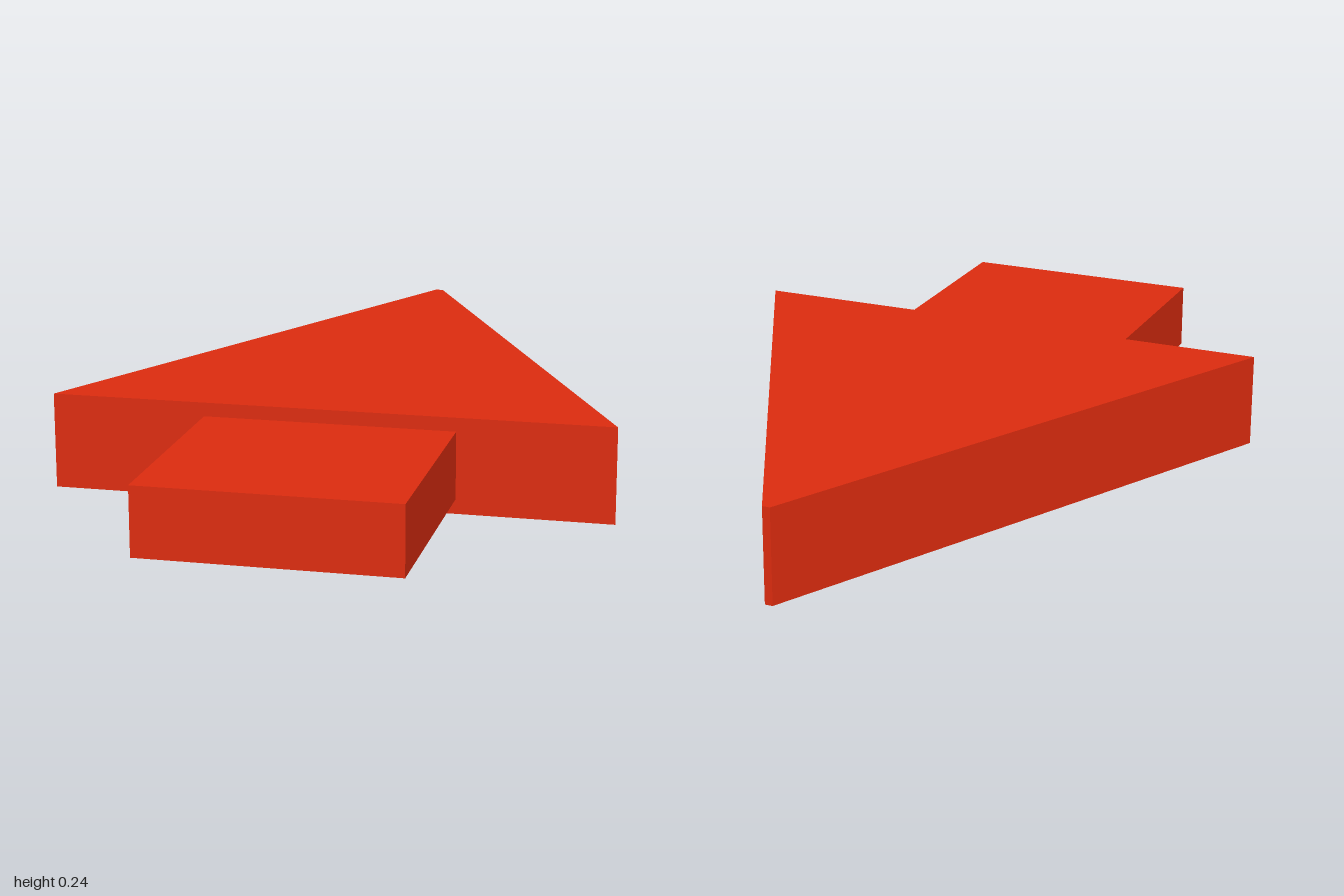
import * as THREE from 'three';

export function createModel() {
  const group = new THREE.Group();
  group.name = 'arrow';
  const red = new THREE.MeshStandardMaterial({ color: 0xdd2c0f });

  // Arrow head: a thick triangular slab with a narrow blunt tip pointing to -z
  const outline = new THREE.Shape([
    new THREE.Vector2(-0.708, -0.405),
    new THREE.Vector2(0.708, -0.405),
    new THREE.Vector2(0.01, 1),
    new THREE.Vector2(-0.01, 1),
  ]);
  const headGeometry = new THREE.ExtrudeGeometry(outline, { depth: 0.243, bevelEnabled: false });
  headGeometry.rotateX(-Math.PI / 2);
  const head = new THREE.Mesh(headGeometry, red);
  head.name = 'arrowHead';
  group.add(head);

  // Shaft: a thinner block behind the head, centred on its thickness
  const shaft = new THREE.Mesh(new THREE.BoxGeometry(0.634, 0.171, 0.595), red);
  shaft.name = 'shaft';
  shaft.position.set(0, 0.1225, 0.7025);
  group.add(shaft);

  return group;
}
